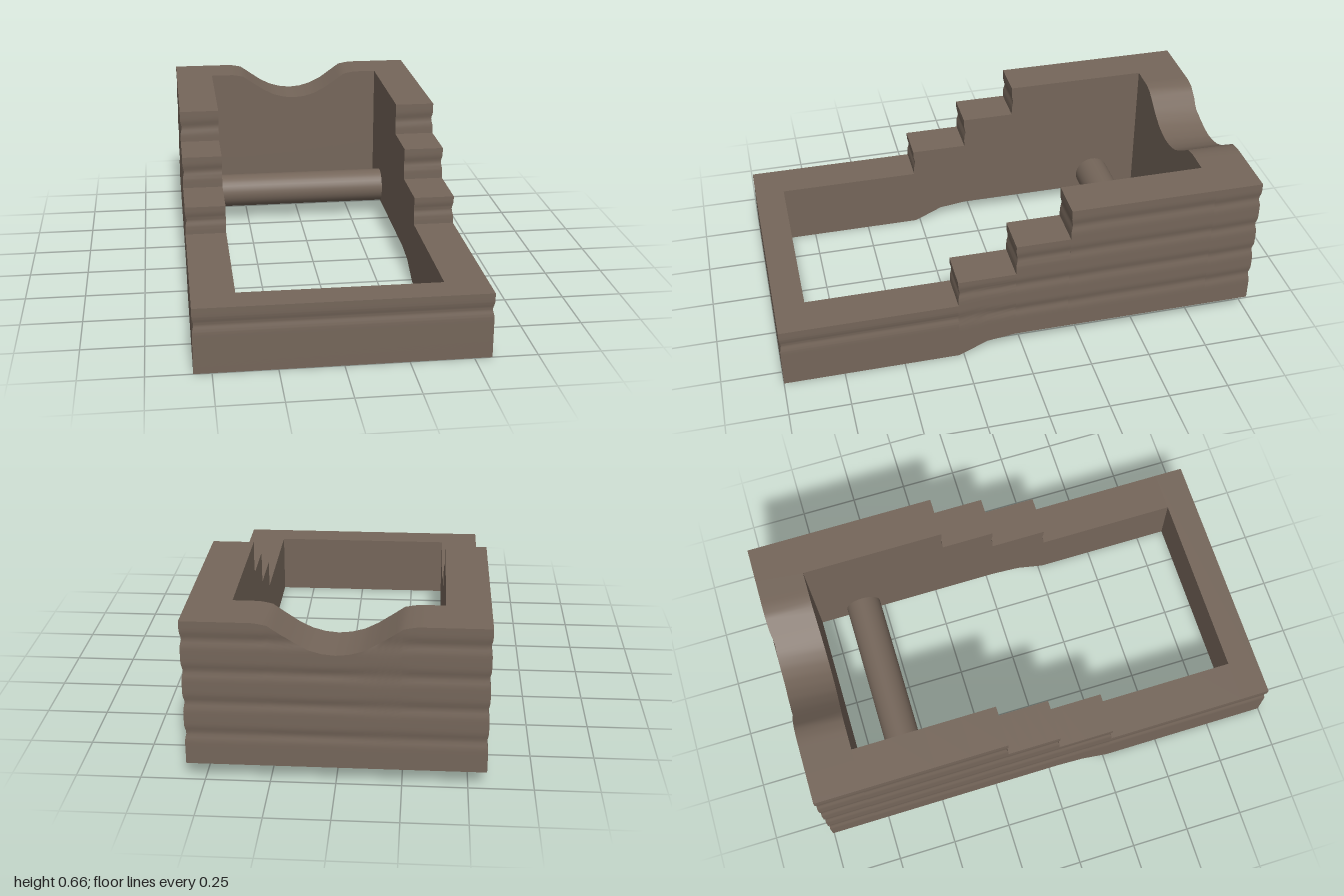
import * as THREE from 'three';
import { toCreasedNormals } from 'three/addons/utils/BufferGeometryUtils.js';

const material = new THREE.MeshStandardMaterial({ color: 0x75665a });
const W = 0.57, INNER = 0.4, TOP = 0.663;

// Piecewise linear curve through [position, value] pairs
function curve(points, p) {
  if (p <= points[0][0]) return points[0][1];
  for (let i = 1; i < points.length; i++) {
    const [a, va] = points[i - 1], [b, vb] = points[i];
    if (p <= b) return va + (vb - va) * (p - a) / (b - a);
  }
  return points[points.length - 1][1];
}

// Underside rises behind the front section; the rear rim has a scooped dip
const underside = z => curve([[0.03, 0.07], [0.15, 0.055], [0.27, 0]], z);
const rim = x => curve([[0, 0.541], [0.05, 0.546], [0.1, 0.56], [0.15, 0.586],
  [0.2, 0.62], [0.25, 0.655], [0.3, TOP]], Math.abs(x));

// Shallow horizontal grooves between the timber courses
const groove = y => y < 0.15 ? 0
  : 0.006 * Math.pow(Math.abs(Math.cos(Math.PI * (y - 0.2) / 0.13)), 8);

// Timber block: y runs from the underside to top(x); outer faces are grooved.
// The front face is grooved only above frontFrom.
function block(name, x0, x1, z0, z1, top, frontFrom, xSegs = 1, zSegs = 1) {
  const g = new THREE.BoxGeometry(x1 - x0, 1, z1 - z0, xSegs, 48, zSegs);
  g.translate((x0 + x1) / 2, 0.5, (z0 + z1) / 2);
  const p = g.attributes.position;
  for (let i = 0; i < p.count; i++) {
    let x = p.getX(i), z = p.getZ(i);
    const low = underside(z);
    const y = low + p.getY(i) * (top(x) - low);
    const d = groove(y);
    if (Math.abs(x) > W - 1e-4) x -= Math.sign(x) * d;
    if (Math.abs(z - z1) < 1e-4 && y > frontFrom) z -= d;
    if (z < -1 + 1e-4) z += d;
    p.setXYZ(i, x, y, z);
  }
  const mesh = new THREE.Mesh(toCreasedNormals(g, 0.6), material);
  mesh.name = name;
  return mesh;
}

export function createModel() {
  const model = new THREE.Group();
  model.name = 'steppedTimberFrame';

  // Stepped side walls: [back z, front z, top, top of the step in front]
  const steps = [
    [-0.8, -0.195, TOP, 0.525],
    [-0.195, 0.03, 0.525, 0.387],
    [0.03, 0.27, 0.387, 0.267],
    [0.27, 0.875, 0.267, 9],
  ];
  for (const side of [1, -1]) {
    const wall = new THREE.Group();
    wall.name = side > 0 ? 'leftWall' : 'rightWall';
    const x0 = side > 0 ? INNER : -W, x1 = side > 0 ? W : -INNER;
    steps.forEach(([z0, z1, top, from], i) =>
      wall.add(block('wallStep' + (i + 1), x0, x1, z0, z1, () => top, from, 1, 4)));
    model.add(wall);
  }

  // End walls
  model.add(block('frontWall', -W, W, 0.875, 1, () => 0.267, 0));
  model.add(block('backWall', -W, W, -1, -0.8, rim, 9, 46));

  // Round crossbar between the side walls
  const bar = new THREE.Mesh(new THREE.CylinderGeometry(0.077, 0.077, 2 * INNER + 0.02, 32), material);
  bar.name = 'crossbar';
  bar.rotation.z = Math.PI / 2;
  bar.position.set(0, 0.142, -0.595);
  model.add(bar);

  return model;
}
